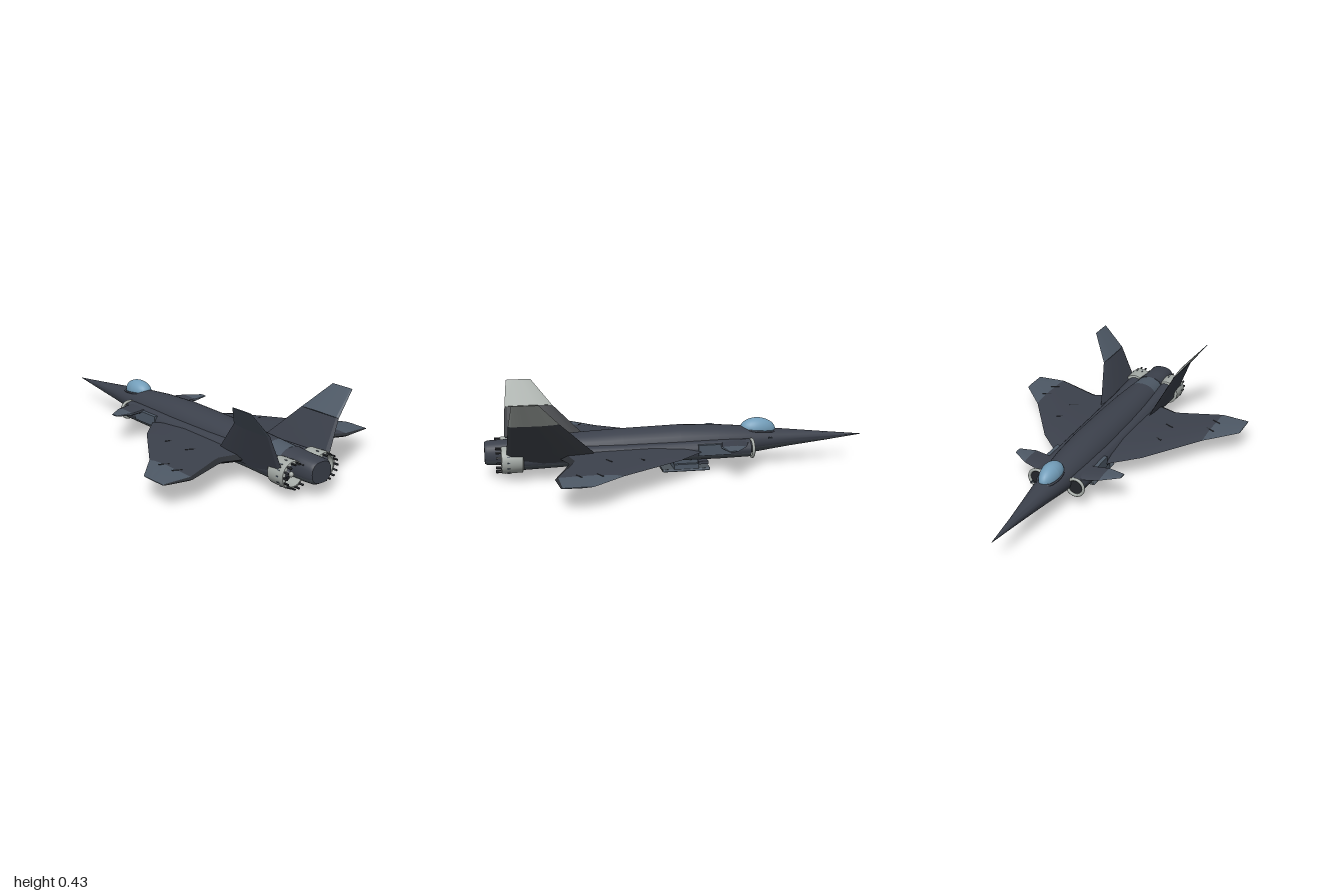
import * as THREE from 'three';
import { toCreasedNormals } from 'three/addons/utils/BufferGeometryUtils.js';

const mat = (name, color, side = THREE.FrontSide) => {
  const m = new THREE.MeshStandardMaterial({ color, side });
  m.name = name;
  return m;
};

// Closed skin over equal-length rings of [x, y, z], always wound outward;
// pick(normal) gives the material slot of each face
function loft(rings, pick = () => 0, crease = 0.6) {
  const n = rings[0].length, tris = [];
  for (let i = 0; i < rings.length - 1; i++) {
    for (let j = 0; j < n; j++) {
      const k = (j + 1) % n, a = rings[i], b = rings[i + 1];
      tris.push([a[j], a[k], b[k]], [a[j], b[k], b[j]]);
    }
  }
  const first = rings[0], last = rings[rings.length - 1];
  for (let j = 1; j < n - 1; j++) {
    tris.push([first[0], first[j + 1], first[j]], [last[0], last[j], last[j + 1]]);
  }
  let volume = 0;
  for (const [a, b, c] of tris) {
    volume += a[0] * (b[1] * c[2] - b[2] * c[1]) + a[1] * (b[2] * c[0] - b[0] * c[2]) + a[2] * (b[0] * c[1] - b[1] * c[0]);
  }
  const slots = [[], [], []], normal = new THREE.Vector3();
  for (const t of tris) {
    const face = volume < 0 ? [t[0], t[2], t[1]] : t;
    new THREE.Triangle(...face.map((p) => new THREE.Vector3(...p))).getNormal(normal);
    slots[pick(normal)].push(...face.flat());
  }
  const geo = new THREE.BufferGeometry();
  geo.setAttribute('position', new THREE.Float32BufferAttribute(slots.flat(), 3));
  let start = 0;
  slots.forEach((slot, i) => {
    if (slot.length) geo.addGroup(start, slot.length / 3, i);
    start += slot.length / 3;
  });
  return toCreasedNormals(geo, crease);
}

// Oval body ring: half width, bottom and top heights; power squares the corners
function oval([z, w, bottom, top], power = 1, count = 32) {
  const bend = (v) => Math.sign(v) * Math.abs(v) ** power;
  return Array.from({ length: count }, (_, i) => {
    const a = (i / count) * Math.PI * 2;
    return [w * bend(Math.cos(a)), (top + bottom) / 2 + ((top - bottom) / 2) * bend(Math.sin(a)), z];
  });
}

// Aerofoil ring at (x, y); half thickness t is laid along the direction (nx, ny)
function foil([x, y, lead, trail, t], side, [nx, ny]) {
  const outline = [[0, 0], [0.12, 0.6], [0.35, 1], [0.7, 0.9], [0.95, 0.7], [1, 0.05],
    [0.95, -0.7], [0.7, -0.9], [0.35, -1], [0.12, -0.6]];
  return outline.map(([c, h]) => [side * (x + h * t * nx), y + h * t * ny, lead + c * (trail - lead)]);
}

export function createModel() {
  const hull = mat('hull grey', 0x3c414c);
  const slate = mat('slate panel', 0x4e5966);
  const belly = mat('underside grey', 0x4b535a);
  const dark = mat('fin charcoal', 0x2a2d32);
  const pale = mat('pale metal', 0xa5aba7, THREE.DoubleSide);
  const glass = mat('canopy glass', 0x739eba);
  const black = mat('engine black', 0x22252a);

  const model = new THREE.Group();
  model.name = 'aircraft';
  const add = (name, geo, material, x = 0, y = 0, z = 0, parent = model) => {
    const mesh = new THREE.Mesh(geo, material);
    mesh.name = name;
    mesh.position.set(x, y, z);
    parent.add(mesh);
    return mesh;
  };
  const box = (w, h, d) => new THREE.BoxGeometry(w, h, d);
  const under = (n) => (n.y < -0.4 ? 1 : 0);
  const wingFace = (n) => (n.z > 0.35 ? 2 : under(n));
  const finFace = (n) => (n.x > 0 ? 0 : 1);

  // Fuselage, banded tail section and rounded tail cone
  add('fuselage', loft([
    [-1, 0.001, 0.129, 0.131], [-0.8, 0.022, 0.106, 0.152], [-0.6, 0.049, 0.086, 0.174],
    [-0.5, 0.063, 0.074, 0.185], [-0.35, 0.084, 0.055, 0.204], [-0.2, 0.098, 0.043, 0.217],
    [0, 0.105, 0.034, 0.225], [0.3, 0.105, 0.038, 0.218], [0.5, 0.101, 0.046, 0.21], [0.69, 0.09, 0.054, 0.2],
  ].map((r) => oval(r)), under), [hull, belly]);
  add('tailBand', loft([[0.69, 0.09, 0.054, 0.2], [0.8, 0.08, 0.058, 0.194]].map((r) => oval(r))), [slate]);
  add('tailCone', loft([[0.8, 0.079, 0.058, 0.193], [0.88, 0.07, 0.06, 0.188], [0.985, 0.069, 0.065, 0.185],
    [1, 0.06, 0.073, 0.177]].map((r) => oval(r, 0.8)), under), [hull, belly]);

  // Bubble canopy, narrower toward the nose, on a low sill
  const canopy = new THREE.SphereGeometry(1, 28, 16, 0, Math.PI * 2, 0, Math.PI * 0.55);
  const p = canopy.attributes.position;
  for (let i = 0; i < p.count; i++) {
    p.setXYZ(i, p.getX(i) * (0.052 + 0.008 * p.getZ(i)), p.getY(i) * 0.06, p.getZ(i) * 0.095);
  }
  canopy.computeVertexNormals();
  add('canopy', canopy, glass, 0, 0.185, -0.428).rotation.x = -0.09;
  const sill = new THREE.TorusGeometry(1, 0.09, 8, 32);
  sill.rotateX(Math.PI / 2);
  sill.scale(0.054, 0.06, 0.096);
  add('canopySill', sill, hull, 0, 0.181, -0.428).rotation.x = -0.09;

  // Belly bay with a flat door
  add('bellyBay', box(0.208, 0.026, 0.13), slate, 0, 0.026, -0.025);
  add('bellyMount', box(0.17, 0.03, 0.13), slate, 0, 0.05, -0.025);
  add('bellyDoor', box(0.2, 0.012, 0.25), belly, 0, 0.008, -0.025);
  add('bellyHinge', box(0.16, 0.016, 0.05), hull, 0, 0.036, -0.12);

  // Sensor probe beside the cockpit
  add('probe', box(0.022, 0.005, 0.005), slate, 0.069, 0.15, -0.475);
  add('probeTip', box(0.006, 0.008, 0.022), slate, 0.08, 0.15, -0.475);

  for (const s of [1, -1]) {
    const surface = (name, stations, normal, pick, materials) =>
      add(name, loft(stations.map((r) => foil(r, s, normal)), pick, 0.35), materials);

    // Main wing with a paler tip and dark trailing edge
    const kink = [0.5, 0.113, 0.355, 0.685, 0.013];
    surface('wing', [[0.07, 0.113, -0.16, 0.66, 0.03], [0.15, 0.113, -0.095, 0.63, 0.027],
      [0.25, 0.113, 0.005, 0.595, 0.023], [0.285, 0.113, 0.04, 0.605, 0.022], kink], [0, 1], wingFace, [hull, belly, dark]);
    surface('wingTip', [kink, [0.645, 0.115, 0.51, 0.67, 0.005], [0.651, 0.115, 0.52, 0.668, 0.002]],
      [0, 1], wingFace, [slate, slate, dark]);

    // Small actuator fairings on the wing
    for (const [x, z] of [[0.29, 0.24], [0.29, 0.4], [0.5, 0.47], [0.5, 0.57]]) {
      add('wingFairing', box(0.05, 0.012, 0.007), dark, s * x, x > 0.4 ? 0.121 : 0.129, z).rotation.y = s * 0.45;
    }

    // Canard and its paler tip
    const bend = [0.21, 0.146, -0.315, -0.183, 0.008];
    surface('canard', [[0.07, 0.143, -0.365, -0.2, 0.012], [0.13, 0.144, -0.345, -0.2, 0.011], bend],
      [0, 1], under, [hull, belly]);
    surface('canardTip', [bend, [0.298, 0.148, -0.25, -0.205, 0.003]], [0, 1], under, [slate, slate]);

    // Outward-leaning tail fin: faces toward the left are dark with a pale top, the others hull grey
    const joint = [0.217, 0.31, 0.635, 0.885, 0.008];
    surface('tailFin', [[0.135, 0.1, 0.42, 0.895, 0.013], [0.155, 0.155, 0.475, 0.895, 0.013], joint],
      [0.93, -0.36], finFace, [dark, hull]);
    surface('tailFinTop', [joint, [0.318, 0.433, 0.74, 0.87, 0.002]], [0.8, -0.6], finFace, [pale, slate]);

    // Engine nacelle with intake lip and shoulder panel
    const nacelle = [[-0.36, 0.046], [-0.2, 0.049], [0.3, 0.048], [0.6, 0.05], [0.82, 0.056]];
    add('nacelle', loft(nacelle.map(([z, r]) => oval([z, r, -r, r], 1, 28)), under), [hull, belly], s * 0.095, 0.11, 0);
    add('intakeLip', new THREE.TorusGeometry(0.045, 0.008, 10, 32), pale, s * 0.106, 0.11, -0.37);
    const mouth = new THREE.CircleGeometry(0.044, 28);
    mouth.rotateY(Math.PI);
    add('intakeMouth', mouth, black, s * 0.106, 0.11, -0.366);
    add('intakePanel', box(0.045, 0.055, 0.17), slate, s * 0.124, 0.12, -0.165);

    // Exhaust: broad pale ring, slim petals, bolts and inner cone
    const nozzle = new THREE.Group();
    nozzle.name = 'nozzle';
    nozzle.position.set(s * 0.1, 0.11, 0);
    model.add(nozzle);
    const part = (name, geo, material, x, y, z) => add(name, geo, material, x, y, z, nozzle);
    const shell = [[0.052, 0.81], [0.066, 0.815], [0.069, 0.9], [0.067, 0.918], [0.054, 0.922], [0.05, 0.84]];
    const shellGeo = new THREE.LatheGeometry(shell.map(([r, z]) => new THREE.Vector2(r, z)), 32);
    shellGeo.rotateX(Math.PI / 2);
    part('nozzleRing', toCreasedNormals(shellGeo, 0.6), pale, 0, 0, 0);
    part('exhaustDisc', new THREE.CircleGeometry(0.055, 32), black, 0, 0, 0.86);
    const cone = new THREE.ConeGeometry(0.035, 0.05, 24);
    cone.rotateX(Math.PI / 2);
    part('exhaustCone', cone, hull, 0, 0, 0.885);
    part('coneTip', new THREE.SphereGeometry(0.013, 16, 12), pale, 0, 0, 0.905);
    for (let i = 0; i < 14; i++) {
      const a = (i / 14) * Math.PI * 2, c = Math.cos(a), d = Math.sin(a);
      part('petal', box(0.006, 0.009, 0.03), dark, 0.061 * c, 0.061 * d, 0.932).rotation.z = a;
      part('bolt', box(0.006, 0.005, 0.014), slate, 0.068 * c, 0.068 * d, 0.885).rotation.z = a;
    }

    // Belly rails
    const rail = new THREE.CapsuleGeometry(0.007, 0.236, 4, 10);
    rail.rotateX(Math.PI / 2);
    add('bellyRail', rail, slate, s * 0.098, 0.007, -0.025);
  }
  return model;
}
